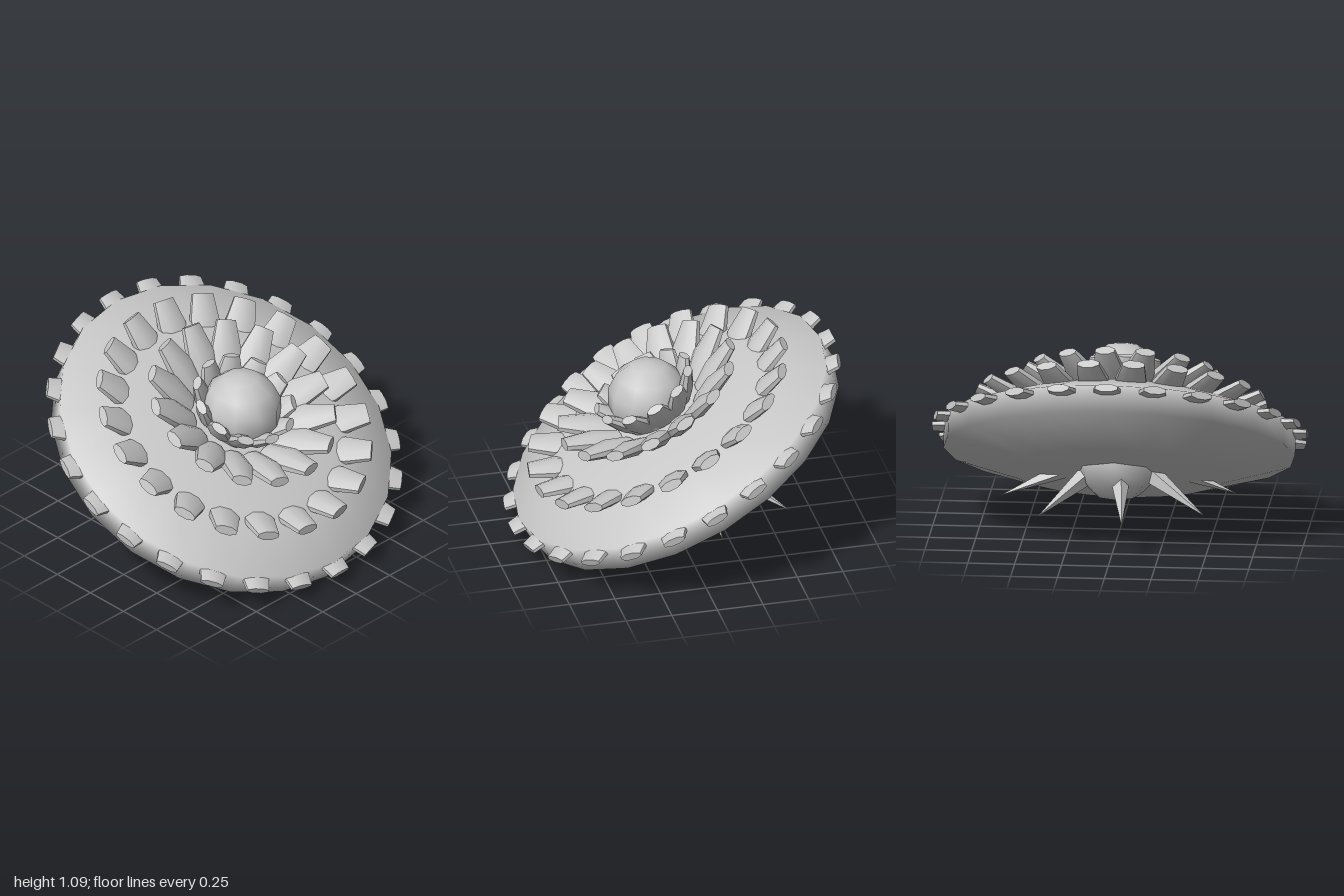
import * as THREE from 'three';
import { toCreasedNormals } from 'three/addons/utils/BufferGeometryUtils.js';

const grey = new THREE.MeshStandardMaterial({ color: 0xc8c8c8 });
grey.name = 'plain grey';

function part(name, geometry, parent) {
  const mesh = new THREE.Mesh(geometry, grey);
  mesh.name = name;
  parent.add(mesh);
  return mesh;
}

// Flattened eight-sided petal growing along +y, widest near its middle
function petalGeometry(width, length, thickness, base, tip) {
  const profile = [[0, 0], [base, 0], [1, 0.45], [tip, 1], [0, 1]]
    .map(([r, y]) => new THREE.Vector2(r, y));
  const g = new THREE.LatheGeometry(profile, 8);
  g.rotateY(Math.PI / 8);
  g.scale(width / 2 / 0.924, length, thickness / 2 / 0.924);
  return toCreasedNormals(g, 0.75);
}

// Ring of petals running from (r0, h0) to (r1, h1) in the disc's own frame
function petalRing(name, parent, o) {
  const ring = new THREE.Group();
  ring.name = name + 'Ring';
  parent.add(ring);
  const length = Math.hypot(o.r1 - o.r0, o.h1 - o.h0);
  const lift = Math.atan2(o.h1 - o.h0, o.r1 - o.r0);
  const g = petalGeometry(o.width, length, o.thickness, o.base, o.tip);
  for (let i = 0; i < o.count; i++) {
    const arm = new THREE.Group();
    arm.rotation.y = THREE.MathUtils.degToRad(o.start) + (i / o.count) * Math.PI * 2;
    ring.add(arm);
    const petal = part(name, g, arm);
    petal.position.set(0, o.h0, o.r0);
    petal.rotation.x = Math.PI / 2 - lift;
  }
}

export function createModel() {
  const model = new THREE.Group();
  model.name = 'tiltedFlowerDisc';

  // Disc leaning towards the front
  const disc = new THREE.Group();
  disc.name = 'disc';
  disc.position.y = 0.555;
  disc.rotation.x = 0.492;
  model.add(disc);
  const body = new THREE.SphereGeometry(0.988, 20, 5);
  body.scale(1, 0.238, 1);
  part('discBody', body, disc).position.y = -0.045;

  // Rim studs and three rings of petals
  petalRing('rimStud', disc, {
    count: 24, start: 0, r0: 0.84, h0: 0, r1: 1, h1: 0,
    width: 0.15, thickness: 0.052, base: 0.95, tip: 0.8 });
  petalRing('outerPetal', disc, {
    count: 20, start: 9, r0: 0.53, h0: 0.08, r1: 0.77, h1: 0.185,
    width: 0.165, thickness: 0.07, base: 0.7, tip: 0.72 });
  petalRing('middlePetal', disc, {
    count: 15, start: -18, r0: 0.25, h0: 0.16, r1: 0.52, h1: 0.315,
    width: 0.17, thickness: 0.085, base: 0.65, tip: 0.62 });
  petalRing('innerPetal', disc, {
    count: 11, start: -8, r0: 0.16, h0: 0.17, r1: 0.275, h1: 0.345,
    width: 0.15, thickness: 0.075, base: 0.7, tip: 0.6 });

  // Central bulb and the lump underneath
  part('centreBulb', new THREE.SphereGeometry(0.22, 10, 7), model).position.set(0, 0.78, 0.13);
  part('lowerLump', new THREE.SphereGeometry(0.245, 8, 6), model).position.set(0, 0.46, -0.17);

  // Spikes splayed outwards and down around the lump
  const up = new THREE.Vector3(0, 1, 0);
  for (let i = 0; i < 8; i++) {
    const a = THREE.MathUtils.degToRad(6 + 45 * i);
    const at = (r, y) => new THREE.Vector3(Math.cos(a) * r, y, -0.06 - Math.sin(a) * r);
    const base = at(0.2, 0.39), tip = at(0.63, 0.215);
    const g = toCreasedNormals(new THREE.ConeGeometry(0.06, base.distanceTo(tip), 4), 0.1);
    const spike = part('spike', g, model);
    spike.position.copy(base).lerp(tip, 0.5);
    spike.quaternion.setFromUnitVectors(up, tip.sub(base).normalize());
  }
  return model;
}
